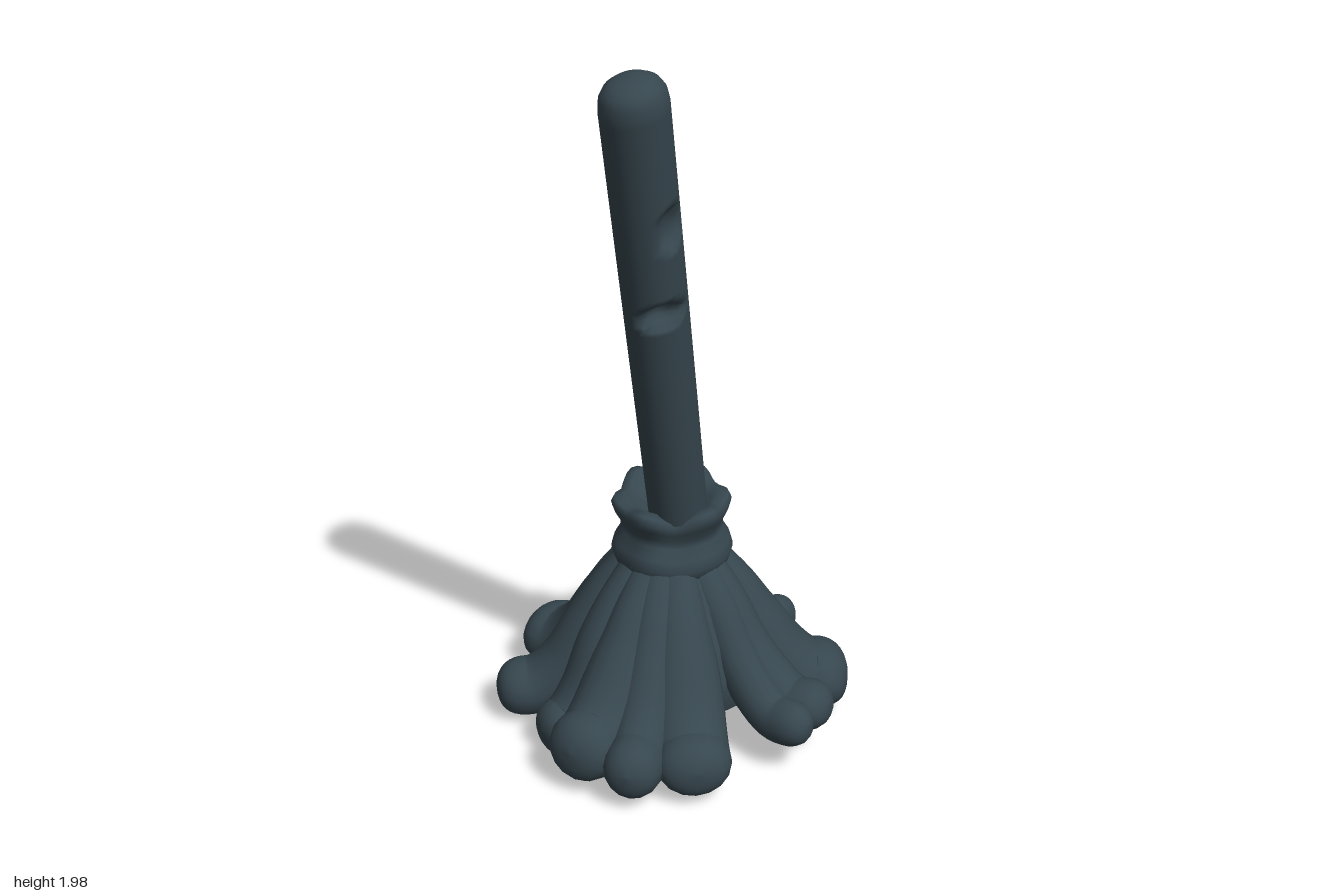
import * as THREE from 'three';

const V = (x, y, z) => new THREE.Vector3(x, y, z);

// Skin a list of equal-sized rings; first and last rings are closed with a fan.
function loft(rings) {
  const n = rings[0].length, pos = [], idx = [];
  rings.forEach(r => r.forEach(p => pos.push(p.x, p.y, p.z)));
  for (let i = 0; i < rings.length - 1; i++) {
    for (let j = 0; j < n; j++) {
      const a = i * n + j, b = i * n + (j + 1) % n;
      idx.push(a, b, b + n, a, b + n, a + n);
    }
  }
  [0, rings.length - 1].forEach((k, end) => {
    const c = rings[k].reduce((s, p) => s.add(p), V(0, 0, 0)).divideScalar(n);
    const m = pos.length / 3;
    pos.push(c.x, c.y, c.z);
    for (let j = 0; j < n; j++) {
      const a = k * n + j, b = k * n + (j + 1) % n;
      if (end) idx.push(m, a, b); else idx.push(m, b, a);
    }
  });
  const g = new THREE.BufferGeometry();
  g.setAttribute('position', new THREE.Float32BufferAttribute(pos, 3));
  g.setIndex(idx);
  g.computeVertexNormals();
  return g;
}

// Leaning pole with two carved notches.
function handleGeometry() {
  const rings = [], N = 28;
  const notches = [
    { y: 1.36, dir: 0.85, h: 0.035, w: 0.8, depth: 0.045 },
    { y: 1.6, dir: 1.5, h: 0.06, w: 0.6, depth: 0.03 },
  ];
  const ring = (y, r) => {
    const t = (y - 0.68) / 1.27, out = [];
    for (let j = 0; j < N; j++) {
      const a = j / N * Math.PI * 2;
      let rr = r;
      for (const k of notches) {
        const d = Math.hypot((y - k.y) / k.h, (a - k.dir) / k.w);
        if (d < 1) rr -= k.depth * Math.sqrt(1 - d * d);
      }
      out.push(V(0.045 + 0.115 * t + rr * Math.sin(a), y - rr * Math.cos(a) * 0.25,
        0.042 + 0.36 * t + rr * Math.cos(a)));
    }
    return out;
  };
  for (let i = 0; i <= 110; i++) {
    const y = 0.46 + i / 110 * 1.46;
    rings.push(ring(y, 0.075 + 0.008 * (y - 0.46) / 1.46));
  }
  [[1.95, 0.079], [1.97, 0.068], [1.983, 0.05], [1.99, 0.025]].forEach(([y, r]) => rings.push(ring(y, r)));
  return loft(rings);
}

// Gathered binding: round lower band, pinched waist, ruffled lip.
function collarGeometry() {
  const profile = [[0.1, 0.46, 0], [0.135, 0.48, 0], [0.152, 0.5, 0.1], [0.16, 0.53, 0.2], [0.152, 0.56, 0.3],
    [0.134, 0.59, 0.3], [0.134, 0.615, 0.5], [0.148, 0.645, 0.8], [0.155, 0.67, 1], [0.147, 0.687, 1],
    [0.122, 0.69, 1], [0.1, 0.67, 0.8], [0.06, 0.645, 0.6]];
  return loft(profile.map(([r, y, k]) => {
    const out = [];
    for (let j = 0; j < 48; j++) {
      const a = j / 48 * Math.PI * 2;
      const f = k * (0.6 * Math.sin(6 * a + 0.6) + 0.4 * Math.sin(4 * a + 2));
      const rr = r + 0.018 * f;
      out.push(V(rr * Math.sin(a) - 0.008 * (1 - k), y + 0.016 * f, rr * Math.cos(a) - 0.012 + 0.016 * k));
    }
    return out;
  }));
}

// One fat cloth strand that bulges from the collar, then splays out to (x, z).
function strandGeometry({ x, z, y, w, h = 0.085 }) {
  const R = Math.hypot(x, z), dx = x / R, dz = z / R;
  const path = new THREE.CatmullRomCurve3(
    [[0.075, 0.53], [0.16, 0.415], [0.215, 0.305], [0.22 + (R - 0.22) * 0.24, y * 0.5 + 0.125],
      [0.22 + (R - 0.22) * 0.58, y * 0.7 + 0.03], [R, y]].map(([r, py]) => V(dx * r, py, dz * r)));
  const side = V(-dz, 0, dx), rings = [];
  const steps = 28, N = 16;
  for (let i = 0; i <= steps; i++) {
    const t = 1 - Math.pow(1 - i / steps, 1.5);
    const p = path.getPoint(t), nrm = path.getTangent(t).cross(side).normalize();
    const cap = t > 0.84 ? Math.sqrt(Math.max(0.004, 1 - Math.pow((t - 0.84) / 0.16, 2.8))) : 1;
    const grow = THREE.MathUtils.smoothstep(t, 0, 0.6);
    const rw = (0.055 + (w - 0.055) * grow) * cap, rh = (0.05 + (h - 0.05) * grow) * cap;
    const ring = [];
    for (let j = 0; j < N; j++) {
      const a = j / N * Math.PI * 2;
      ring.push(p.clone().addScaledVector(side, rw * Math.cos(a)).addScaledVector(nrm, rh * Math.sin(a)));
    }
    rings.push(ring);
  }
  return loft(rings);
}

export function createModel() {
  const model = new THREE.Group();
  model.name = 'mop';
  const slate = new THREE.MeshStandardMaterial({ color: 0x37474f });
  slate.name = 'slate';
  const add = (name, geometry, parent = model) => {
    const m = new THREE.Mesh(geometry, slate);
    m.name = name;
    parent.add(m);
  };

  add('handle', handleGeometry());
  add('collar', collarGeometry());

  // Hollow bell behind the strands
  const bell = [[0, 0.37], [0.08, 0.32], [0.15, 0.24], [0.22, 0.15], [0.255, 0.15], [0.25, 0.24],
    [0.225, 0.33], [0.185, 0.43], [0.13, 0.52], [0, 0.53]];
  add('headCore', new THREE.LatheGeometry(bell.map(p => new THREE.Vector2(...p)), 32));

  // Strand tips, listed around the head
  const strands = new THREE.Group();
  strands.name = 'strands';
  model.add(strands);
  [
    { x: -0.052, z: -0.49, y: 0.105, w: 0.08 },
    { x: 0.085, z: -0.475, y: 0.13, w: 0.055, h: 0.07 },
    { x: 0.385, z: -0.28, y: 0.14, w: 0.112, h: 0.09 },
    { x: 0.475, z: -0.03, y: 0.19, w: 0.075, h: 0.07 },
    { x: 0.475, z: 0.075, y: 0.18, w: 0.058, h: 0.065 },
    { x: 0.315, z: 0.355, y: 0.125, w: 0.1, h: 0.085 },
    { x: 0.175, z: 0.475, y: 0.13, w: 0.08 },
    { x: 0.005, z: 0.487, y: 0.15, w: 0.1, h: 0.095 },
    { x: -0.165, z: 0.375, y: 0.09, w: 0.08, h: 0.075 },
    { x: -0.39, z: 0.275, y: 0.105, w: 0.085, h: 0.08 },
    { x: -0.485, z: -0.035, y: 0.115, w: 0.108 },
    { x: -0.325, z: -0.335, y: 0.11, w: 0.1 },
  ].forEach((s, i) => add('strand' + (i + 1), strandGeometry(s), strands));

  return model;
}
